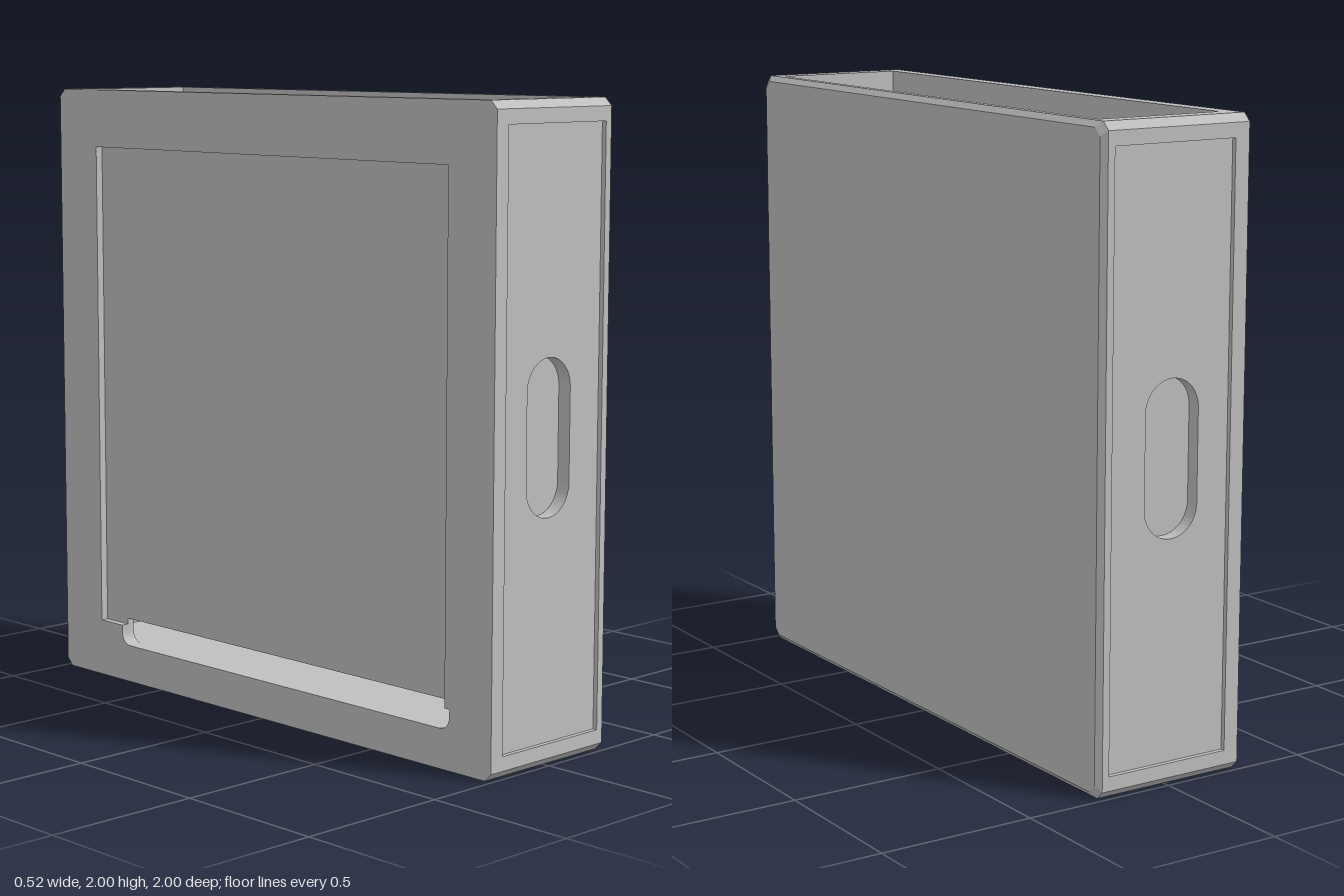
import * as THREE from 'three';

export function createModel() {
  const model = new THREE.Group();
  const grey = new THREE.MeshStandardMaterial({ color: 0xbfbfbf });
  grey.name = 'plain grey';

  const vecs = (pts) => pts.map(([a, b]) => new THREE.Vector2(a, b));
  const extrude = (shape, depth, steps = 1) =>
    new THREE.ExtrudeGeometry(shape, { depth, steps, bevelEnabled: false, curveSegments: 12 });

  function add(name, geometry) {
    const mesh = new THREE.Mesh(geometry, grey);
    mesh.name = name;
    mesh.position.y = 1;
    model.add(mesh);
    return mesh;
  }

  // Side profiles are drawn with (-z, y - 1) and extruded along x
  function addAlongX(name, geometry, x) {
    add(name, geometry.rotateY(Math.PI / 2)).position.x = x;
  }

  // Square with small cut corners
  const c = 0.025;
  const square = () => new THREE.Shape(vecs([
    [-1 + c, -1], [1 - c, -1], [1, -1 + c], [1, 1 - c],
    [1 - c, 1], [-1 + c, 1], [-1, 1 - c], [-1, -1 + c],
  ]));

  // Closed side with a chamfered outer rim
  const cover = extrude(square(), 0.04, 2);
  const p = cover.attributes.position;
  for (let i = 0; i < p.count; i++) {
    const z = p.getZ(i);
    if (z > 0.03) p.setXY(i, p.getX(i) * 0.982, p.getY(i) * 0.982);
    else if (z > 0.01) p.setZ(i, 0.024);
  }
  cover.computeVertexNormals();
  addAlongX('closedSide', cover, 0.22);

  // U-shaped core, open at the top, with seats for the inset panels
  const half = [
    [0.93, -0.94], [0.93, -1], [1 - c, -1], [1, -1 + c], [1, -0.93], [0.94, -0.93],
    [0.94, 0.93], [1, 0.93], [1, 1 - c], [1 - c, 1], [0.92, 1], [0.92, -0.875],
  ];
  const mirrored = half.map(([u, v]) => [-u, v]).reverse();
  addAlongX('core', extrude(new THREE.Shape(vecs([...half, ...mirrored])), 0.43), -0.21);

  // Window side: outer frame, then a back sheet pierced only by the low slot
  const w = 0.81, u0 = -0.83, u1 = 0.70, low = -0.875, sill = -0.81, r = 0.045;
  const slotBottom = (path) => {
    path.lineTo(u0, low + r);
    path.quadraticCurveTo(u0, low, u0 + r, low);
    path.lineTo(u1 - r, low);
    path.quadraticCurveTo(u1, low, u1, low + r);
  };
  const windowHole = new THREE.Path();
  windowHole.moveTo(w, w);
  windowHole.lineTo(-w, w);
  windowHole.lineTo(-w, sill);
  windowHole.lineTo(u0, sill);
  slotBottom(windowHole);
  windowHole.lineTo(u1, sill);
  windowHole.lineTo(w, sill);
  windowHole.closePath();
  const frame = square();
  frame.holes.push(windowHole);
  addAlongX('windowFrame', extrude(frame, 0.025), -0.26);

  const slot = new THREE.Path();
  slot.moveTo(u1, sill + 0.02);
  slot.lineTo(u0, sill + 0.02);
  slotBottom(slot);
  slot.closePath();
  const sheet = square();
  sheet.holes.push(slot);
  addAlongX('windowBack', extrude(sheet, 0.025), -0.235);

  // Inset panels with a blind oblong recess: front, bottom and back
  const panel = new THREE.Shape(vecs([[-0.21, -0.93], [0.22, -0.93], [0.22, 0.93], [-0.21, 0.93]]));
  const oblong = new THREE.Path();
  oblong.absarc(-0.005, 0.145, 0.096, 0, Math.PI, false);
  oblong.absarc(-0.005, -0.145, 0.096, Math.PI, Math.PI * 2, false);
  oblong.closePath();
  panel.holes.push(oblong);
  ['frontPanel', 'bottomPanel', 'backPanel'].forEach((name, i) => {
    add(name, extrude(panel, 0.045).translate(0, 0, 0.94).rotateX(i * Math.PI / 2));
  });

  return model;
}
